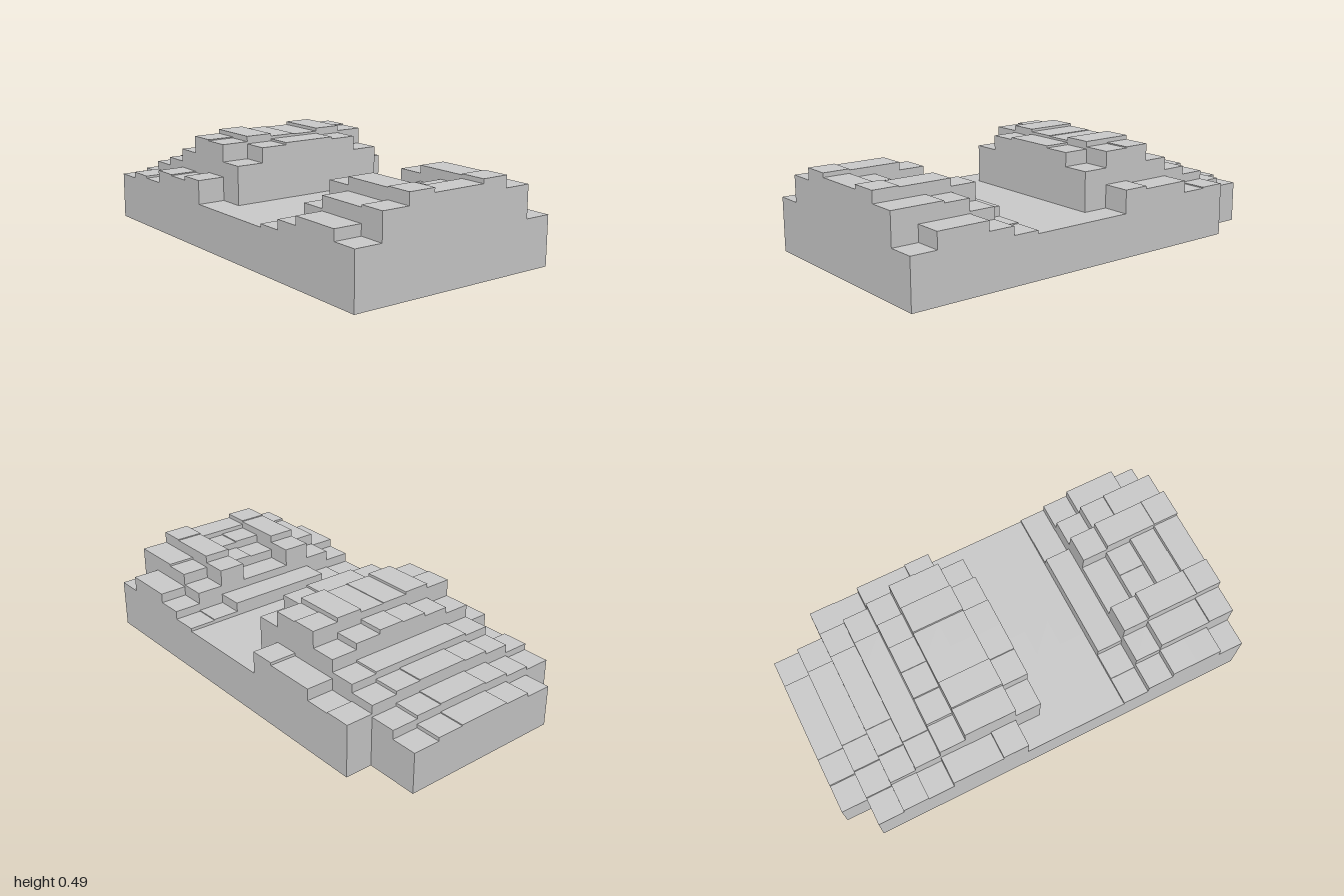
import * as THREE from 'three';

// Heights of the terrain columns in hundredths, back row first, x from -1 to 1 (0 = empty)
const bed = [20.5, 20.5, 20.5];
const leftHill = [
  [0, 0, 25, 24.5, 30, 30, 31.3, 20.5],
  [19.3, 23.5, 29, 33, 39, 47, 46.5, 39],
  [21, 25, 30.5, 34, 42, 49, 49, 45.5],
  [21.5, 25.5, 31, 34, 44, 47.5, 47.5, 46.5],
  [21.5, 25.5, 31, 34, 43.5, 47.8, 47.8, 46.5],
  [21, 25, 30.5, 34, 42, 49, 49, 45.5],
  [19.3, 23.5, 29, 33, 39, 47, 46.5, 38.5],
  [0, 22, 25, 24, 30, 29.5, 31.5, 20.5],
];
const rightHill = [
  [22, 26, 30.5, 30.5, 23],
  [22.5, 31.5, 37, 38, 38],
  [27, 39.5, 43, 43, 43.5],
  [27, 31, 36, 39, 41.5],
  [27, 31, 35.5, 39.5, 41.5],
  [27, 39.5, 43, 43, 43.5],
  [22.5, 31.5, 37, 37, 38],
  [22, 26.5, 30.5, 30.5, 25.5],
];
const CELL_X = 2 / 16;
const CELL_Z = 1.052 / 8;

export function createModel() {
  const model = new THREE.Group();
  model.name = 'blockTerrain';
  const material = new THREE.MeshStandardMaterial({ color: 0xcccccc, flatShading: true });

  // Stands one row of square columns on the ground, starting at a grid column
  function addRow(group, heights, firstColumn, row) {
    heights.forEach((h, i) => {
      if (!h) return;
      const y = h / 100;
      const column = new THREE.Mesh(new THREE.BoxGeometry(CELL_X, y, CELL_Z), material);
      column.name = 'terrainColumn';
      column.position.set(-1 + (firstColumn + i + 0.5) * CELL_X, y / 2, (row - 3.5) * CELL_Z);
      group.add(column);
    });
  }

  // Two stepped hills with a flat channel between them
  const parts = [
    ['tallHill', leftHill, 0],
    ['channelBed', leftHill.map(() => bed), 8],
    ['lowHill', rightHill, 11],
  ];
  for (const [name, rows, firstColumn] of parts) {
    const group = new THREE.Group();
    group.name = name;
    rows.forEach((heights, row) => addRow(group, heights, firstColumn, row));
    model.add(group);
  }
  return model;
}
